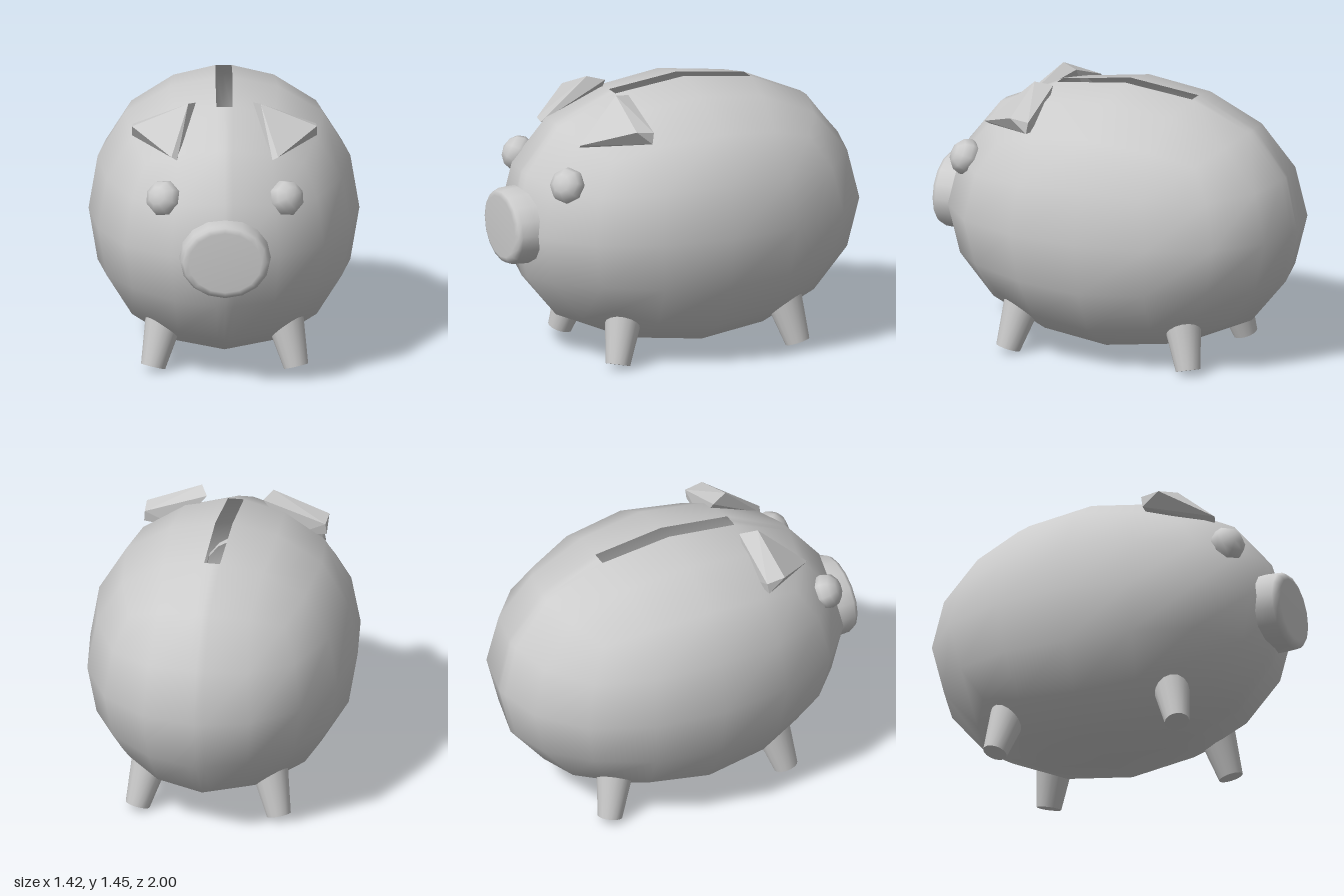
import * as THREE from 'three';
import { mergeVertices } from 'three/addons/utils/BufferGeometryUtils.js';
import { ConvexGeometry } from 'three/addons/geometries/ConvexGeometry.js';

const grey = new THREE.MeshStandardMaterial({ color: 0xcccccc, side: THREE.DoubleSide });
const V = (x, y, z) => new THREE.Vector3(x, y, z);
const BODY_CENTRE = V(0, 0.735, -0.03);
const BODY_RADII = V(0.71, 0.71, 0.97);
const SLOT = 0.16; // half slot width, in grid steps

function part(name, geometry) {
  const mesh = new THREE.Mesh(geometry, grey);
  mesh.name = name;
  return mesh;
}

// Rounded-cube positions, keyed by the two in-face grid steps (larger first)
const ROUND = {
  '00': [1, 0, 0], '10': [0.933, 0.399, 0], '11': [0.87, 0.371, 0.371],
  '20': [0.732, 0.732, 0], '21': [0.682, 0.682, 0.344], '22': [0.58, 0.58, 0.58],
};
function roundPoint(grid) {
  const order = [0, 1, 2].sort((a, b) => Math.abs(grid[b]) - Math.abs(grid[a]));
  const row = ROUND[`${Math.abs(grid[order[1]])}${Math.abs(grid[order[2]])}`];
  const out = [0, 0, 0];
  order.forEach((axis, i) => { out[axis] = row[i] * Math.sign(grid[axis]); });
  return V(...out);
}

// Egg-shaped hollow body: a cube grid rounded off, with the slot faces left out
function bodyGeometry() {
  const g = new THREE.BoxGeometry(6, 4, 4, 6, 4, 4);
  g.deleteAttribute('uv');
  g.deleteAttribute('normal');
  const p = g.attributes.position;
  const index = g.index.array;
  const kept = [];
  for (let i = 0; i < index.length; i += 3) {
    const tri = [index[i], index[i + 1], index[i + 2]];
    const inSlot = tri.every((k) => p.getY(k) > 1.9 && Math.abs(p.getX(k)) < 1.1 && Math.abs(p.getZ(k)) < 1.1);
    if (!inSlot) kept.push(...tri);
  }
  for (let i = 0; i < p.count; i++) {
    const [ix, y, z] = [p.getX(i), p.getY(i), p.getZ(i)].map(Math.round);
    const side = Math.sign(ix);
    let v;
    if (Math.abs(ix) === 1) {
      // extra columns bordering the slot
      const mid = roundPoint([0, y, z]);
      v = mid.clone().lerp(roundPoint([side, y, z]), SLOT);
      if (y === 2) v.set(v.x, mid.y, mid.z);
    } else {
      v = roundPoint([ix - side, y, z]);
    }
    v.multiply(BODY_RADII).add(BODY_CENTRE);
    p.setXYZ(i, v.x, v.y, v.z);
  }
  g.setIndex(kept);
  const merged = mergeVertices(g, 1e-4);
  merged.computeVertexNormals();
  return merged;
}

// Oval snout with a softened front rim
function snoutGeometry() {
  const profile = [[1, 0.82], [1, 0.9], [0.98, 0.97], [0.92, 0.99], [0.8, 1], [0, 1]];
  const g = new THREE.LatheGeometry(profile.map(([r, z]) => new THREE.Vector2(r, z)), 16);
  g.rotateX(Math.PI / 2);
  g.scale(0.24, 0.203, 1);
  g.translate(0, 0.735, 0);
  return g;
}

// Wedge-shaped ear folded forward
function earGeometry(s) {
  return new ConvexGeometry([
    V(s * 0.19, 1.435, 0.42), V(s * 0.485, 1.315, 0.43), V(s * 0.28, 1.215, 0.665),
    V(s * 0.15, 1.415, 0.33), V(s * 0.48, 1.3, 0.33), V(s * 0.485, 1.24, 0.34),
    V(s * 0.25, 1.195, 0.655), V(s * 0.3, 1.22, 0.33),
  ]);
}

// Tapered leg between two points
function leg(name, foot, hip) {
  const axis = hip.clone().sub(foot);
  const mesh = part(name, new THREE.CylinderGeometry(0.1, 0.065, axis.length(), 16));
  mesh.position.copy(foot).lerp(hip, 0.5);
  mesh.quaternion.setFromUnitVectors(V(0, 1, 0), axis.normalize());
  return mesh;
}

export function createModel() {
  const model = new THREE.Group();
  model.name = 'piggyBank';
  model.add(part('body', bodyGeometry()), part('snout', snoutGeometry()));

  for (const [s, side] of [[1, 'Left'], [-1, 'Right']]) {
    model.add(part(`ear${side}`, earGeometry(s)));

    // Bulging eye, its pole facing outward
    const eye = part(`eye${side}`, new THREE.SphereGeometry(0.097, 8, 6));
    eye.scale.set(1, 0.85, 1);
    eye.position.set(s * 0.322, 1.02, 0.755);
    eye.quaternion.setFromUnitVectors(V(0, 1, 0), V(s * 0.5, 0.4, 0.75).normalize());
    model.add(eye);

    model.add(
      leg(`frontLeg${side}`, V(s * 0.375, 0.02, 0.49), V(s * 0.315, 0.27, 0.43)),
      leg(`backLeg${side}`, V(s * 0.375, 0.02, -0.54), V(s * 0.315, 0.27, -0.48)),
    );
  }
  return model;
}
